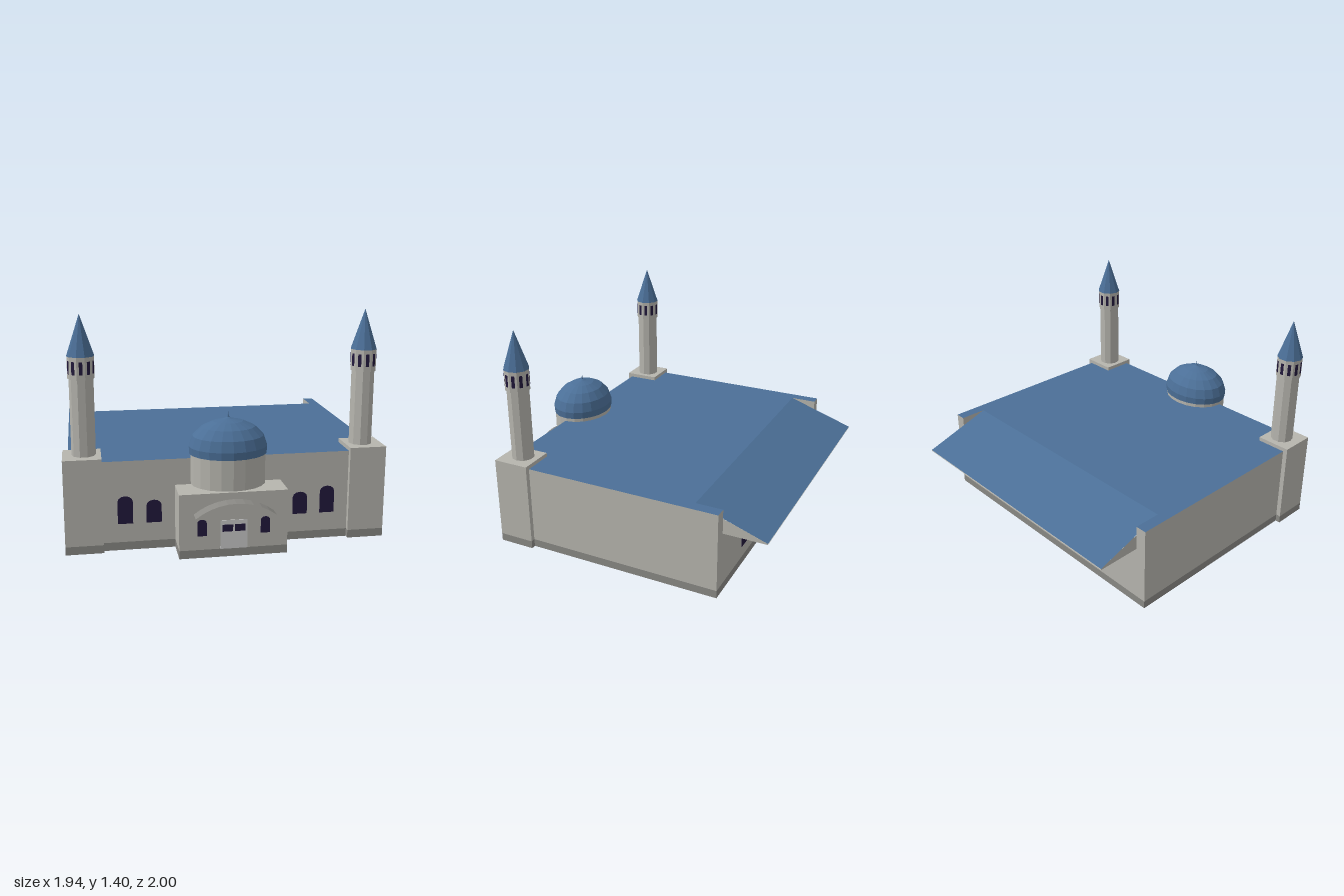
import * as THREE from 'three';

const mat = (color) => new THREE.MeshStandardMaterial({ color, side: THREE.DoubleSide, flatShading: true });
const STONE = mat(0xb6b5ae), PLINTH = mat(0x8a8985), BLUE = mat(0x4b6f97), DARK = mat(0x21183c), DOOR = mat(0xcccccc);

const HX = 0.94, HZ = 0.73, ROOF = 0.55, TRIM = 0.05; // hall
const PX = 0.32, PZ = 0.92, PY = 0.39; // porch
const DRUM = { rx: 0.225, rz: 0.185, z: 0.72 };

function add(parent, name, geometry, material, x = 0, y = 0, z = 0) {
  const mesh = new THREE.Mesh(geometry, material);
  mesh.name = name;
  mesh.position.set(x, y, z);
  parent.add(mesh);
  return mesh;
}

// Upright sheet along a path of [x, z] points
function strip(path, y0, y1) {
  const v = [];
  for (let i = 0; i + 1 < path.length; i++) {
    const [[ax, az], [bx, bz]] = [path[i], path[i + 1]];
    v.push(ax, y0, az, bx, y0, bz, bx, y1, bz, ax, y0, az, bx, y1, bz, ax, y1, az);
  }
  const g = new THREE.BufferGeometry();
  g.setAttribute('position', new THREE.Float32BufferAttribute(v, 3));
  g.computeVertexNormals();
  return g;
}

const shapeOf = (pts) => new THREE.Shape(pts.map(([a, b]) => new THREE.Vector2(a, b)));

// Flat sheet from [x, z] points, facing up
function slab(pts, hole) {
  const s = shapeOf(pts.map(([x, z]) => [x, -z]));
  if (hole) s.holes.push(shapeOf(hole.map(([x, z]) => [x, -z])));
  return new THREE.ShapeGeometry(s).rotateX(-Math.PI / 2);
}

// Wall with a plinth band below it
function wall(parent, name, path, top) {
  add(parent, name, strip(path, TRIM, top), STONE);
  add(parent, name + 'Plinth', strip(path, 0, TRIM), PLINTH);
}

// Arched window, thin enough to show on both sides of its wall
function archWindow(parent, name, x, z, w, y0, y1) {
  const h = w / 2, spring = y1 - h * 0.75;
  const pts = [[-h, y0], [h, y0]];
  for (let i = 0; i <= 6; i++) {
    const a = (Math.PI * i) / 6;
    pts.push([h * Math.cos(a), spring + (y1 - spring) * Math.sin(a)]);
  }
  const g = new THREE.ExtrudeGeometry(shapeOf(pts), { depth: 0.006, bevelEnabled: false });
  add(parent, name, g, DARK, x, 0, z - 0.003);
}

function createHall() {
  const hall = new THREE.Group();
  hall.name = 'hall';
  // Roof outline with cut-outs for the towers, the drum and the rear slope
  const notch = [];
  for (let i = 0; i <= 10; i++) {
    const a = (Math.PI * i) / 10;
    notch.push([-DRUM.rx * Math.cos(a), DRUM.z - DRUM.rz * Math.sin(a)]);
  }
  add(hall, 'roof', slab([
    [-0.745, HZ], [-DRUM.rx, HZ], ...notch, [DRUM.rx, HZ], [0.745, HZ], [0.745, 0.53], [HX, 0.53], [HX, -HZ],
    [0.87, -HZ], [0.87, -0.56], [-0.87, -0.56], [-0.87, -HZ], [-HX, -HZ], [-HX, 0.53], [-0.745, 0.53],
  ]), BLUE, 0, ROOF);

  wall(hall, 'backWall', [[HX, -HZ], [-HX, -HZ]], 0.395);
  for (const s of [-1, 1]) {
    const run = (a, b) => (s > 0 ? [a, b] : [b, a].map(([x, z]) => [-x, z]));
    wall(hall, 'sideWall', run([HX, 0.53], [HX, -HZ]), ROOF);
    wall(hall, 'frontWall', run([PX, HZ], [0.745, HZ]), ROOF);
    add(hall, 'wallOverPorch', strip(run([DRUM.rx, HZ], [PX, HZ]), PY, ROOF), STONE);
    add(hall, 'backCorner', strip(run([HX, -HZ], [0.87, -HZ]), 0.395, ROOF), STONE);
    archWindow(hall, 'outerWindow', s * 0.615, HZ, 0.09, 0.165, 0.335);
    archWindow(hall, 'innerWindow', s * 0.445, HZ, 0.09, 0.165, 0.305);
    // Triangles closing the sides of the rear slope
    for (const tri of [[[-0.56, 0.55], [-0.73, 0.55], [-0.73, 0.492]], [[-0.73, 0.492], [-0.73, 0.395], [-1, 0.395], [-1, 0.402]]]) {
      const g = new THREE.ShapeGeometry(shapeOf(tri)).rotateY(-Math.PI / 2);
      add(hall, 'slopeCheek', g, STONE, s * 0.87);
    }
  }
  for (const x of [-0.5, 0, 0.5]) archWindow(hall, 'backWindow', x, -HZ, 0.115, 0.125, 0.34);

  // Sloping rear eave
  const drop = ROOF - 0.402, run = 0.44;
  const slope = new THREE.PlaneGeometry(1.74, Math.hypot(drop, run)).rotateX(-Math.PI / 2).rotateX(-Math.atan2(drop, run));
  add(hall, 'rearSlope', slope, BLUE, 0, ROOF - drop / 2, -0.78);
  add(hall, 'eaveUnderside', new THREE.PlaneGeometry(1.74, 0.27).rotateX(Math.PI / 2), STONE, 0, 0.395, -0.865);
  return hall;
}

function createPorch() {
  const porch = new THREE.Group();
  porch.name = 'porch';
  wall(porch, 'porchWall', [[-PX, HZ], [-PX, PZ], [PX, PZ], [PX, HZ]], PY);
  add(porch, 'porchTop', slab([[-PX, HZ], [-PX, PZ], [PX, PZ], [PX, HZ]]), STONE, 0, PY);
  add(porch, 'door', new THREE.BoxGeometry(0.16, 0.175, 0.008), DOOR, 0, 0.1375, PZ);
  for (const s of [-1, 1]) {
    archWindow(porch, 'porchWindow', s * 0.187, PZ, 0.055, 0.135, 0.235);
    add(porch, 'doorPane', new THREE.BoxGeometry(0.062, 0.042, 0.012), DARK, s * 0.036, 0.177, PZ);
  }
  // Curved canopy sheet over the door
  const R = 0.385, half = Math.asin(0.235 / R);
  const arc = new THREE.CylinderGeometry(R, R, 0.08, 10, 1, true, -half, 2 * half).rotateX(-Math.PI / 2);
  add(porch, 'canopy', arc, PLINTH, 0, 0.35 - R, 0.96);
  return porch;
}

function createDome() {
  const dome = new THREE.Group();
  dome.name = 'dome';
  // Drum: front half stands on the porch, back half on the roof
  [[0.39, -Math.PI / 2], [ROOF, Math.PI / 2]].forEach(([y0, start]) => {
    const h = 0.58 - y0;
    const g = new THREE.CylinderGeometry(1, 1, h, 10, 1, true, start, Math.PI).scale(DRUM.rx, 1, DRUM.rz);
    add(dome, 'drum', g, STONE, 0, y0 + h / 2, DRUM.z);
  });
  const profile = [[0.232, 0.575], [0.235, 0.62], [0.213, 0.682], [0.16, 0.734], [0.09, 0.766], [0.03, 0.78], [0.008, 0.788], [0.004, 0.8], [0, 0.822]];
  const shell = new THREE.LatheGeometry(profile.map(([r, y]) => new THREE.Vector2(r, y)), 20).scale(1, 1, 0.81);
  add(dome, 'domeShell', shell, BLUE, 0, 0, DRUM.z);
  return dome;
}

function createTower(s) {
  const tower = new THREE.Group();
  tower.name = s > 0 ? 'leftTower' : 'rightTower';
  const x0 = s > 0 ? 0.745 : -0.97, x1 = x0 + 0.225, z0 = 0.53, z1 = 0.76, top = 0.575;
  const cx = s * 0.845, cz = 0.637, N = 10, turn = Math.PI / N;
  const square = [[x0, z1], [x1, z1], [x1, z0], [x0, z0]];
  wall(tower, 'towerBase', [...square, square[0]], top);
  const ring = Array.from({ length: N }, (_, i) => {
    const a = turn + 2 * turn * i;
    return [cx + 0.071 * Math.sin(a), cz + 0.071 * Math.cos(a)];
  });
  add(tower, 'towerBaseTop', slab(square, ring), STONE, 0, top);

  // Ten-sided shaft, gallery and spire
  const tube = (name, r, y0, y1) =>
    add(tower, name, new THREE.CylinderGeometry(r, r, y1 - y0, N, 1, true).rotateY(turn), STONE, cx, (y0 + y1) / 2, cz);
  tube('shaft', 0.071, top, 1.03);
  tube('gallery', 0.078, 1.03, 1.16);
  add(tower, 'galleryFloor', new THREE.CircleGeometry(0.078, N).rotateX(Math.PI / 2).rotateY(Math.PI / 2 + turn), STONE, cx, 1.03, cz);
  add(tower, 'spire', new THREE.ConeGeometry(0.08, 0.24, N).rotateY(turn), BLUE, cx, 1.28, cz);
  const apothem = 0.078 * Math.cos(turn);
  for (let i = 0; i < N; i++) {
    const g = new THREE.BoxGeometry(0.02, 0.075, 0.004).translate(0, 0, apothem).rotateY(2 * turn * i);
    add(tower, 'galleryWindow', g, DARK, cx, 1.097, cz);
  }
  return tower;
}

export function createModel() {
  const model = new THREE.Group();
  model.name = 'domedHall';
  model.add(createHall(), createPorch(), createDome(), createTower(1), createTower(-1));
  return model;
}
